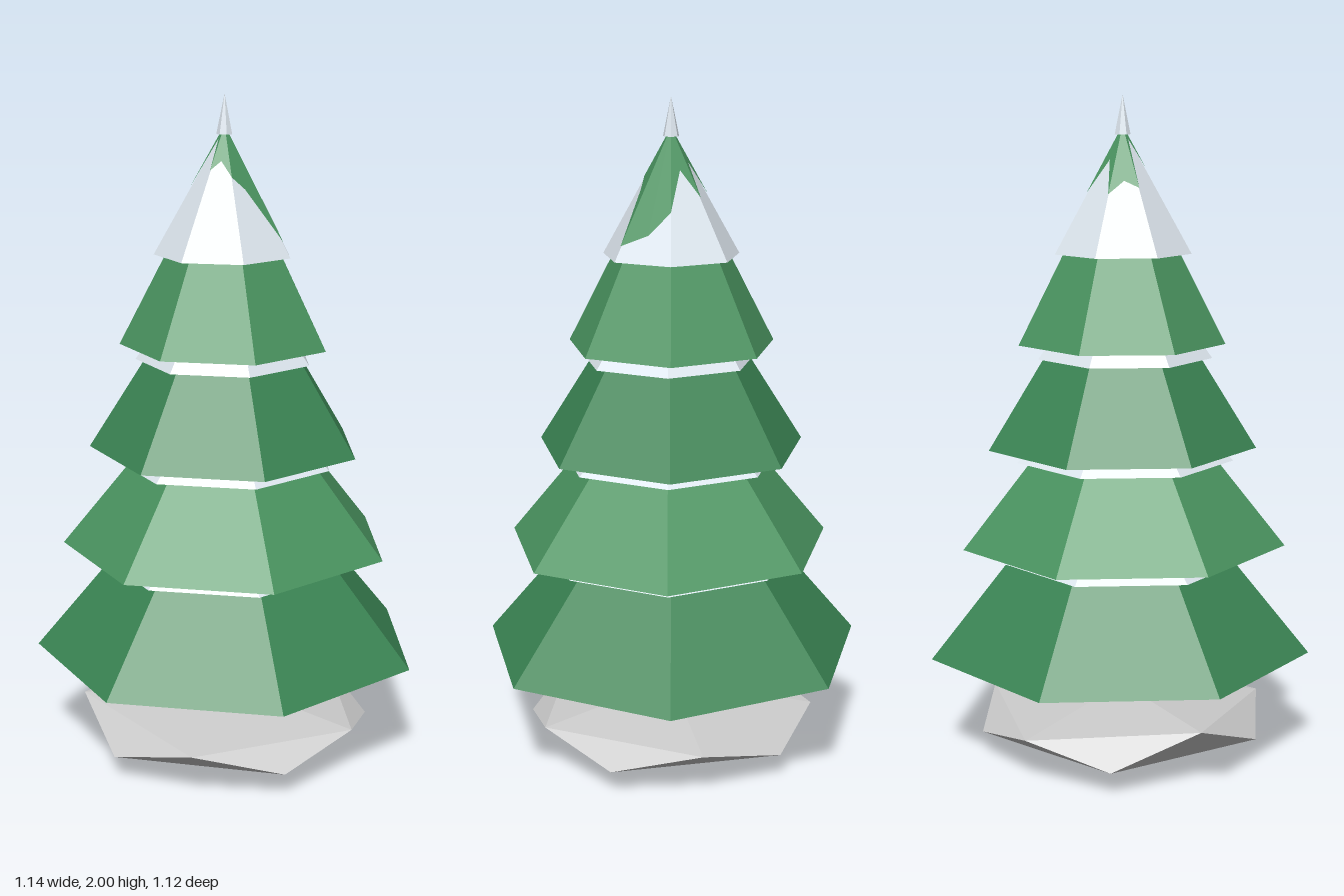
import * as THREE from 'three';
import { ConvexGeometry } from 'three/addons/geometries/ConvexGeometry.js';

const SIDES = 7;
const mat = (color) => new THREE.MeshStandardMaterial({ color, flatShading: true });
const greenDark = mat(0x3b8554);
const greenLight = mat(0x4a9460);
const snow = mat(0xdfe8f0);
const stone = mat(0xd8dadc);
const bark = mat(0x85593a);

export function createModel() {
  const tree = new THREE.Group();
  tree.name = 'snowyPine';

  const add = (name, geometry, material, x = 0, y = 0, z = 0) => {
    const mesh = new THREE.Mesh(geometry, material);
    mesh.name = name;
    mesh.position.set(x, y, z);
    tree.add(mesh);
    return mesh;
  };

  // Seven-sided closed cone with one corner pointing to the back
  const cone = (name, material, r, y0, y1, x, z) => {
    const h = y1 - y0;
    const g = new THREE.ConeGeometry(r, h, SIDES).rotateY(Math.PI);
    return add(name, g, material, x, y0 + h / 2, z);
  };

  // Faceted snow mound: two staggered rings of five between a top and a bottom point
  const mound = [new THREE.Vector3(0, 0.195, 0), new THREE.Vector3(0, 0, 0)];
  const upperY = [0.135, 0.135, 0.14, 0.175, 0.135];
  for (let i = 0; i < 5; i++) {
    const a = (i * Math.PI * 2) / 5;
    const r = 0.44;
    mound.push(new THREE.Vector3(r * Math.cos(a), upperY[i], r * Math.sin(a)));
    mound.push(new THREE.Vector3(-r * Math.cos(a), 0.075, -r * Math.sin(a)));
  }
  add('snowMound', new ConvexGeometry(mound), stone, -0.012, 0, 0.03);

  // Trunk
  add('trunk', new THREE.CylinderGeometry(0.075, 0.075, 0.6, SIDES).rotateY(Math.PI), bark, -0.015, 0.45, 0.03);

  // Branch tiers: radius, rim height, apex height, x, z
  [
    [0.587, 0.327, 1.03, -0.002, 0.028],
    [0.497, 0.66, 1.27, -0.012, 0.035],
    [0.41, 0.96, 1.61, -0.01, 0.028],
    [0.315, 1.272, 1.88, -0.01, 0.026],
  ].forEach(([r, y0, y1, x, z], i) =>
    cone(`branchTier${i + 1}`, i % 2 ? greenLight : greenDark, r, y0, y1, x, z));

  // Snow layers peeking out below the upper tiers
  [
    [0.375, 0.608, 0.95],
    [0.333, 0.918, 1.25],
    [0.266, 1.228, 1.6],
  ].forEach(([r, y0, y1], i) => cone(`snowLayer${i + 1}`, snow, r, y0, y1, -0.018, 0.032));

  // Snow cap
  const capR = 0.207, capY = 1.538, capTop = 1.905, cx = -0.015, cz = 0.025;
  cone('snowCap', snow, capR, capY, capTop, cx, cz);

  // Ragged green patch lying on the cap: reach along each corner and face centre
  const reach = [0.11, 0.05, 0.11, 0.06, 0.13, 0.15, 0.185, 0.09, 0.08, 0.05, 0.07, 0.02, 0.10, 0.08];
  const rim = reach.map((r, i) => {
    const a = (i * Math.PI) / SIDES;
    const cornerR = i % 2 ? capR * Math.cos(Math.PI / SIDES) : capR;
    return [r * Math.sin(a), -((capTop - capY) * r) / cornerR, -r * Math.cos(a)];
  });
  const patch = [];
  rim.forEach((p, i) => patch.push(0, 0, 0, ...rim[(i + 1) % rim.length], ...p));
  const patchGeo = new THREE.BufferGeometry();
  patchGeo.setAttribute('position', new THREE.Float32BufferAttribute(patch, 3));
  patchGeo.computeVertexNormals();
  add('greenPatch', patchGeo, greenLight, cx, capTop + 0.006, cz);

  // Snow spike at the tip
  cone('snowTip', snow, 0.024, 1.885, 2, cx, cz);

  return tree;
}
